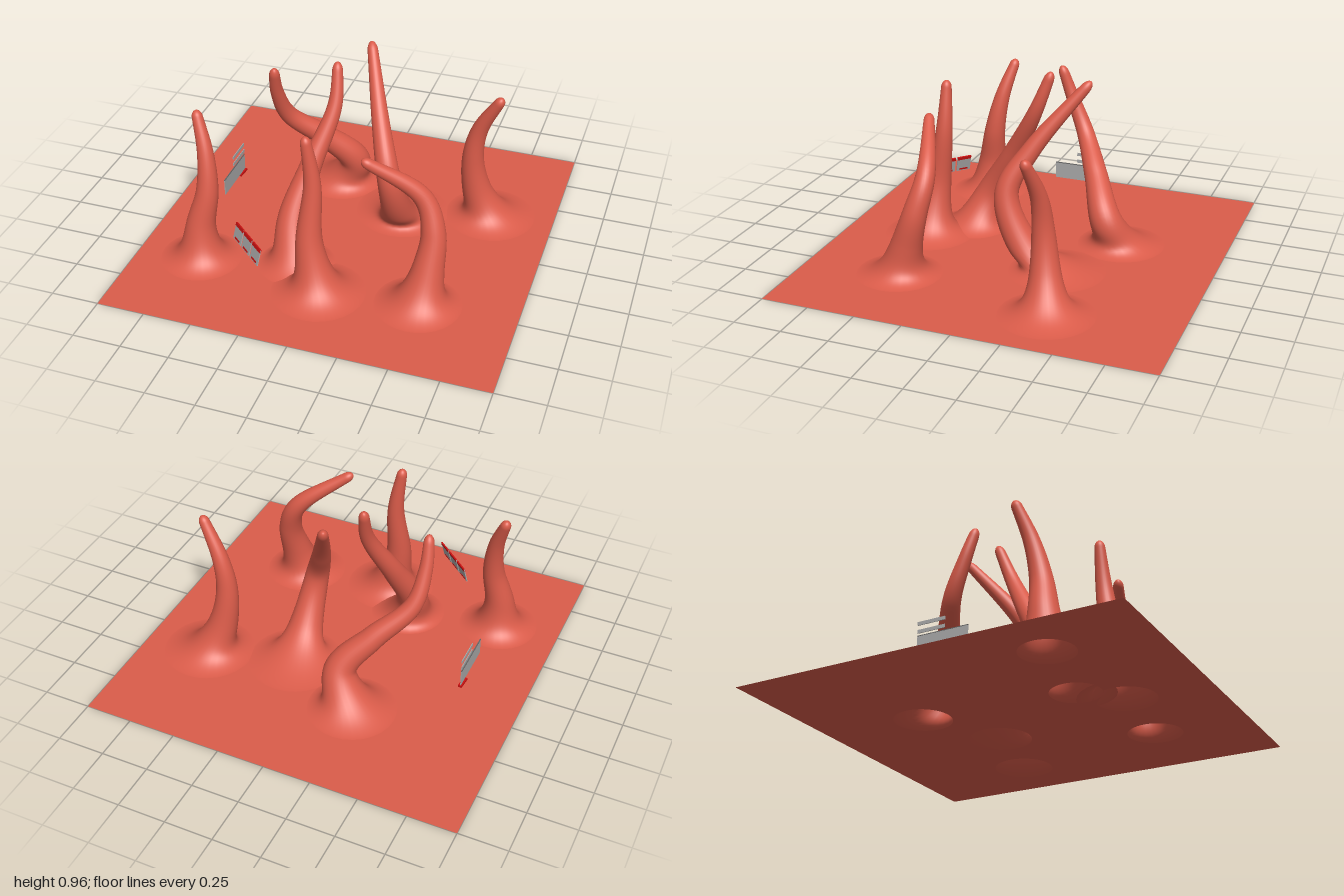
import * as THREE from 'three';

const GROUND_Y = 0.015;
const skin = new THREE.MeshStandardMaterial({ color: 0xdb5c4a, side: THREE.DoubleSide });
const grey = new THREE.MeshStandardMaterial({ color: 0xaaaaaa });
const dark = new THREE.MeshStandardMaterial({ color: 0x666666 });
const red = new THREE.MeshStandardMaterial({ color: 0xcc1111 });

// Each tentacle: foot [x, z, flare radius], then a few points of its spine up to the tip
const TENTACLES = [
  { name: 'frontLeftTentacle', foot: [0.5, 0.5, 0.22],
    spine: [[0.53, 0.2, 0.44], [0.535, 0.38, 0.385], [0.47, 0.55, 0.355], [0.19, 0.77, 0.455]] },
  { name: 'frontMiddleTentacle', foot: [0, 0.56, 0.24],
    spine: [[-0.055, 0.28, 0.53], [-0.05, 0.6, 0.485], [-0.085, 0.86, 0.48]] },
  { name: 'frontRightTentacle', foot: [-0.67, 0.48, 0.21],
    spine: [[-0.67, 0.2, 0.465], [-0.635, 0.4, 0.435], [-0.65, 0.6, 0.395], [-0.715, 0.805, 0.335]] },
  { name: 'innerTentacle', foot: [-0.18, 0.38, 0.2],
    spine: [[-0.235, 0.2, 0.295], [-0.185, 0.46, 0.145], [-0.105, 0.75, -0.01], [-0.115, 0.96, -0.09]] },
  { name: 'backRightTentacle', foot: [-0.22, -0.45, 0.23],
    spine: [[-0.125, 0.19, -0.39], [-0.26, 0.37, -0.29], [-0.42, 0.54, -0.175], [-0.45, 0.72, -0.09], [-0.44, 0.89, -0.03]] },
  { name: 'backLeftTentacle', foot: [0.66, -0.35, 0.24],
    spine: [[0.585, 0.2, -0.315], [0.56, 0.4, -0.295], [0.59, 0.58, -0.285], [0.705, 0.805, -0.25]] },
  { name: 'backMiddleTentacle', foot: [0.2, -0.24, 0.25],
    spine: [[0.22, 0.14, -0.07], [0.2, 0.4, 0.035], [0.125, 0.62, -0.07], [-0.015, 0.97, -0.335]] },
];

// Thickness along the spine: an even taper, plus a flare at the foot, closed by a round tip
function thickness(s, flare) {
  const tip = Math.max(0, (s - 0.96) / 0.04);
  return (0.085 - 0.06 * s + (flare - 0.085) * Math.exp(-9 * s ** 0.75)) * Math.sqrt(1 - Math.min(1, tip) ** 2);
}

function tentacleGeometry({ foot: [x, z, flare], spine }) {
  const path = new THREE.CatmullRomCurve3([[x, GROUND_Y, z], ...spine].map(p => new THREE.Vector3(...p)));
  const rings = 72, sides = 28, positions = [], index = [];
  const up = new THREE.Vector3(0, 1, 0), u = new THREE.Vector3(), v = new THREE.Vector3();
  for (let i = 0; i <= rings; i++) {
    const s = (1 - Math.cos(Math.PI * i / rings)) / 2; // denser rings at foot and tip
    const c = path.getPointAt(s), r = thickness(s, flare);
    // Rings lie flat at the foot and turn square to the spine higher up
    const n = up.clone().lerp(path.getTangentAt(s), THREE.MathUtils.smoothstep(c.y, 0.03, 0.35)).normalize();
    u.set(1, 0, 0).addScaledVector(n, -n.x).normalize();
    v.crossVectors(n, u);
    for (let j = 0; j < sides; j++) {
      const a = (j / sides) * Math.PI * 2;
      const p = c.clone().addScaledVector(u, r * Math.cos(a)).addScaledVector(v, r * Math.sin(a));
      positions.push(p.x, Math.max(p.y, GROUND_Y), p.z);
      if (i < rings) {
        const k = i * sides + j, l = i * sides + (j + 1) % sides;
        index.push(k, l, k + sides, l, l + sides, k + sides);
      }
    }
  }
  const geometry = new THREE.BufferGeometry();
  geometry.setAttribute('position', new THREE.Float32BufferAttribute(positions, 3));
  geometry.setIndex(index);
  geometry.computeVertexNormals();
  return geometry;
}

// Square sheet with an opening under each tentacle
function groundGeometry() {
  const shape = new THREE.Shape();
  shape.moveTo(-1, -1).lineTo(1, -1).lineTo(1, 1).lineTo(-1, 1);
  for (const { foot: [x, z, flare] } of TENTACLES) {
    const hole = new THREE.Path();
    hole.absarc(x, -z, flare * 0.65, 0, Math.PI * 2, true);
    shape.holes.push(hole);
  }
  return new THREE.ShapeGeometry(shape, 28).rotateX(-Math.PI / 2);
}

function add(parent, name, geometry, material, x = 0, y = 0, z = 0) {
  const mesh = new THREE.Mesh(geometry, material);
  mesh.name = name;
  mesh.position.set(x, y, z);
  parent.add(mesh);
  return mesh;
}
const box = (w, h, d) => new THREE.BoxGeometry(w, h, d);

export function createModel() {
  const model = new THREE.Group();
  model.name = 'tentacleField';
  add(model, 'ground', groundGeometry(), skin, 0, GROUND_Y, 0);
  for (const t of TENTACLES) add(model, t.name, tentacleGeometry(t), skin);

  // Row of three floating cards with red headers
  const cards = new THREE.Group();
  cards.name = 'cardRow';
  cards.position.set(-0.355, 0.255, 0.605);
  cards.rotation.set(-0.25, -0.73, 0, 'YXZ');
  for (let i = -1; i <= 1; i++) {
    const x = i * 0.094;
    add(cards, 'card', box(0.082, 0.09, 0.005), grey, x, 0, 0);
    add(cards, 'cardHeader', box(0.082, 0.018, 0.008), red, x, 0.037, 0);
    add(cards, 'cardButton', box(0.05, 0.01, 0.008), red, x, -0.034, 0);
  }
  model.add(cards);

  // Floating form: large field, two narrow fields and a button
  const form = new THREE.Group();
  form.name = 'formPanel';
  form.position.set(-0.7, 0, -0.05);
  add(form, 'messageField', box(0.004, 0.09, 0.275), grey, 0, 0.178, 0);
  for (const y of [0.247, 0.288]) add(form, 'inputField', box(0.004, 0.018, 0.15), grey, 0, y, -0.063);
  add(form, 'fieldEdge', box(0.005, 0.004, 0.275), dark, 0, 0.224, 0);
  add(form, 'formButton', box(0.02, 0.012, 0.07), red, 0, 0.126, -0.105).rotation.y = -0.08;
  model.add(form);

  return model;
}
